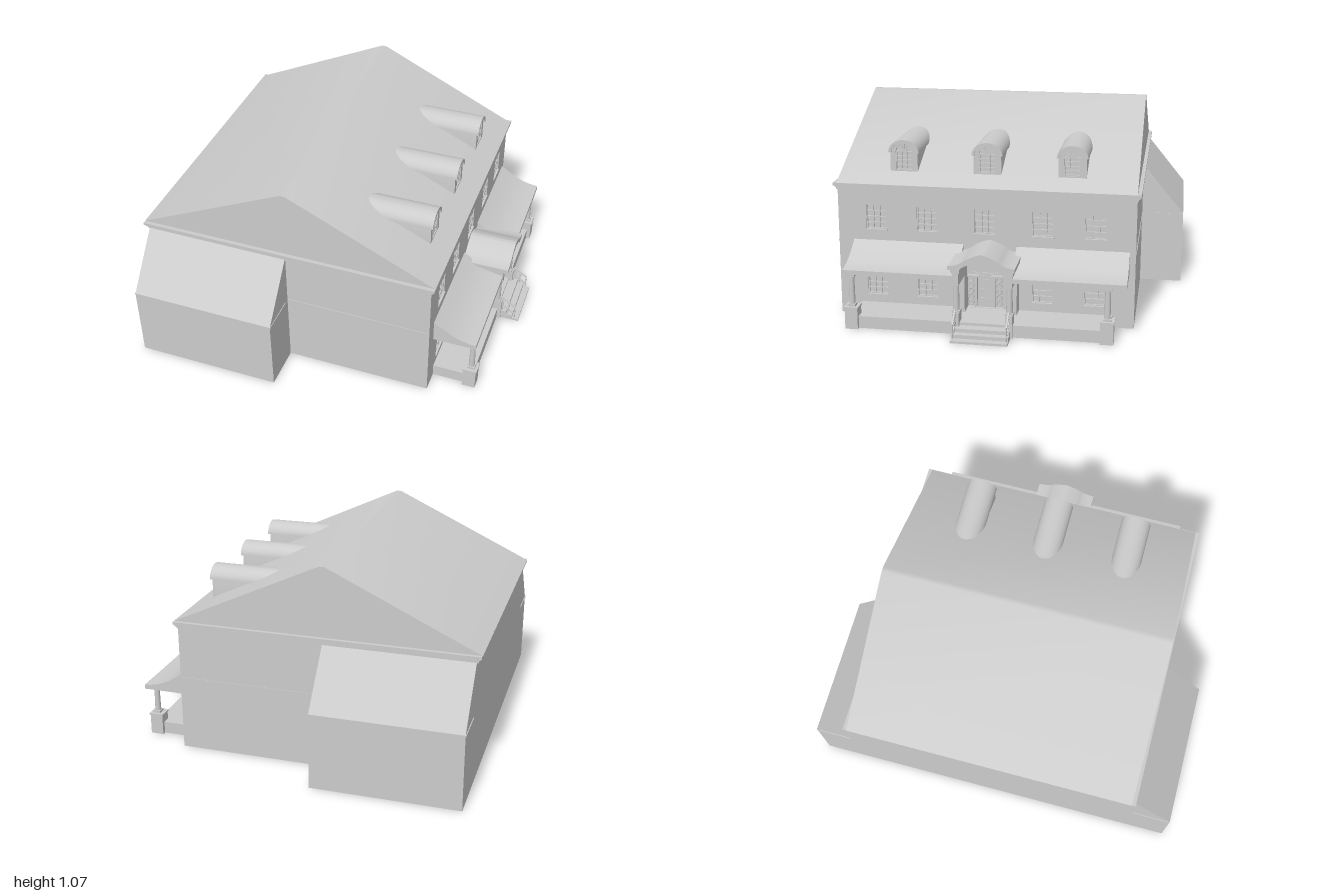
import * as THREE from 'three';
import { toCreasedNormals } from 'three/addons/utils/BufferGeometryUtils.js';

const material = new THREE.MeshStandardMaterial({ color: 0xcccccc });

function add(parent, name, geometry) {
  const mesh = new THREE.Mesh(geometry, material);
  mesh.name = name;
  parent.add(mesh);
  return mesh;
}

// Box given by its min and max along each axis
function box(parent, name, x0, x1, y0, y1, z0, z1) {
  const mesh = add(parent, name, new THREE.BoxGeometry(x1 - x0, y1 - y0, z1 - z0));
  mesh.position.set((x0 + x1) / 2, (y0 + y1) / 2, (z0 + z1) / 2);
  return mesh;
}

const polygon = pts => new THREE.Shape(pts.map(p => new THREE.Vector2(...p)));
const rect = (u0, u1, y0, y1) => polygon([[u0, y0], [u1, y0], [u1, y1], [u0, y1]]);

function extrude(shape, depth) {
  return toCreasedNormals(
    new THREE.ExtrudeGeometry(shape, { depth, bevelEnabled: false, curveSegments: 20 }), 0.6);
}

// Extrude a (-z, y) outline from x0 to x1
function alongX(parent, name, shape, x0, x1, z = 0) {
  const mesh = add(parent, name, extrude(shape, x1 - x0).rotateY(Math.PI / 2));
  mesh.position.set(x0, 0, z);
  return mesh;
}

// Extrude an (x, y) outline from z0 to z1
function alongZ(parent, name, pts, z0, z1) {
  const mesh = add(parent, name, extrude(polygon(pts), z1 - z0));
  mesh.position.z = z0;
  return mesh;
}

function column(parent, name, x, y0, y1, z, r) {
  const shaft = add(parent, name, new THREE.CylinderGeometry(r * 0.85, r, y1 - y0, 16));
  shaft.position.set(x, (y0 + y1) / 2, z);
  const w = r * 1.25;
  box(parent, name + 'Base', x - w, x + w, y0, y0 + 0.012, z - w, z + w);
  box(parent, name + 'Capital', x - w, x + w, y1 - 0.014, y1, z - w, z + w);
}

// Round-headed outline: straight sides with an elliptical top
function archOutline(half, y0, spring, rise) {
  const s = new THREE.Shape();
  s.moveTo(-half, y0);
  s.lineTo(half, y0);
  s.lineTo(half, spring);
  s.absellipse(0, spring, half, rise, 0, Math.PI, false);
  s.lineTo(-half, y0);
  return s;
}

// Sash: a panel cut by a grid of panes
function sash(parent, name, x, y0, y1, z, width, cols, rows) {
  const half = width / 2, bar = 0.005;
  const frame = rect(-half, half, y0, y1);
  const pw = (width - bar) / cols, ph = (y1 - y0 - bar) / rows;
  for (let c = 0; c < cols; c++)
    for (let r = 0; r < rows; r++) {
      const u = -half + bar + c * pw, v = y0 + bar + r * ph;
      frame.holes.push(rect(u, u + pw - bar, v, v + ph - bar));
    }
  alongX(parent, name, frame, x - 0.01, x, z);
}

// Radiating bars of a fanlight
function fan(parent, x, y, z, rx, ry) {
  for (let i = 1; i < 6; i++) {
    const a = (i * Math.PI) / 6, u = rx * Math.cos(a), v = ry * Math.sin(a);
    const bar = add(parent, 'fanlightBar', new THREE.BoxGeometry(0.008, Math.hypot(u, v), 0.004));
    bar.position.set(x, y + v / 2, z + u / 2);
    bar.rotation.x = Math.atan2(u, v);
  }
  const hub = archOutline(rx * 0.35, y - 0.002, y, ry * 0.35);
  alongX(parent, 'fanlightHub', hub, x - 0.005, x + 0.005, z);
}

function buildHouse(house) {
  box(house, 'mainBody', -0.926, 0.59, 0, 0.68, -0.77, 0.77);

  // Facade with window and door openings
  const facade = rect(-0.77, 0.77, 0, 0.68);
  const w = 0.107;
  for (const z of [-0.568, -0.3, 0, 0.3, 0.568]) {
    for (const [y0, y1] of [[0.466, 0.595], [0.11, 0.236]]) {
      if (z === 0 && y0 < 0.4) continue;
      facade.holes.push(rect(-z - w / 2, -z + w / 2, y0, y1));
      sash(house, 'windowSash', 0.605, y0, y1, z, w, 3, 4);
      box(house, 'windowSill', 0.605, 0.617, y0 - 0.007, y0, z - w / 2 - 0.004, z + w / 2 + 0.004);
    }
  }
  facade.holes.push(archOutline(0.092, 0.066, 0.236, 0.05));
  alongX(house, 'facade', facade, 0.59, 0.612);

  // Stepped cornice and gabled roof
  [[0.672, 0.684, 0.006], [0.684, 0.695, 0.012], [0.695, 0.709, 0.02]].forEach(([y0, y1, o]) =>
    box(house, 'cornice', -0.93 - o, 0.612 + o, y0, y1, -0.77 - o, 0.77 + o));
  alongZ(house, 'mainRoof',
    [[-0.952, 0.708], [0.632, 0.708], [-0.145, 1.073], [-0.172, 1.073]], -0.77, 0.77);

  // Lean-to wings and wall bands on both sides
  for (const s of [-1, 1]) {
    const outline = polygon([[-s * 0.76, 0], [-s, 0], [-s, 0.4], [-s * 0.77, 0.68], [-s * 0.76, 0.68]]);
    alongX(house, 'sideWing', outline, -0.926, -0.16);
    box(house, 'wingEave', -0.93, -0.157, 0.392, 0.4, s * 0.899 - 0.101, s * 0.899 + 0.101);
    box(house, 'wallBand', -0.16, 0.612, 0.394, 0.4, s * 0.77 - 0.003, s * 0.77 + 0.003);
  }
}

function buildDormer(parent, z) {
  const dormer = new THREE.Group();
  dormer.name = 'dormer';
  dormer.position.z = z;
  parent.add(dormer);
  alongX(dormer, 'dormerBody', archOutline(0.072, 0.72, 0.86, 0.056), 0.1, 0.508);
  const front = archOutline(0.072, 0.75, 0.86, 0.056);
  front.holes.push(archOutline(0.043, 0.766, 0.86, 0.043));
  alongX(dormer, 'dormerFront', front, 0.508, 0.525);
  sash(dormer, 'dormerSash', 0.52, 0.766, 0.863, 0, 0.086, 3, 4);
  fan(dormer, 0.514, 0.862, 0, 0.043, 0.042);
  const hood = new THREE.Shape();
  hood.moveTo(0.08, 0.858);
  hood.absellipse(0, 0.858, 0.08, 0.066, 0, Math.PI, false);
  hood.lineTo(-0.066, 0.858);
  hood.absellipse(0, 0.858, 0.066, 0.054, Math.PI, 0, true);
  alongX(dormer, 'dormerHood', hood, 0.1, 0.536);
}

function buildDoor(parent) {
  const door = new THREE.Group();
  door.name = 'entrance';
  parent.add(door);
  box(door, 'doorLeaf', 0.588, 0.598, 0.066, 0.23, -0.037, 0.037);
  for (const s of [-1, 1]) {
    box(door, 'doorJamb', 0.59, 0.608, 0.066, 0.236, s * 0.048 - 0.007, s * 0.048 + 0.007);
    for (let i = 0; i < 5; i++) {
      const ring = add(door, 'sidelightRing', new THREE.TorusGeometry(0.014, 0.003, 6, 16));
      ring.rotation.y = Math.PI / 2;
      ring.position.set(0.602, 0.09 + i * 0.032, s * 0.074);
    }
    for (let i = 0; i < 3; i++)
      box(door, 'doorPanel', 0.596, 0.602, 0.076 + i * 0.05, 0.116 + i * 0.05, s * 0.017 - 0.013, s * 0.017 + 0.013);
  }
  box(door, 'doorTransom', 0.59, 0.61, 0.23, 0.24, -0.092, 0.092);
  fan(door, 0.602, 0.24, 0, 0.09, 0.046);
}

function buildPorch(porch) {
  box(porch, 'porchFloor', 0.612, 0.825, 0, 0.064, -0.66, 0.66);
  for (const s of [-1, 1]) {
    const z = s * 0.648;
    box(porch, 'endPier', 0.777, 0.846, 0, 0.108, z - 0.033, z + 0.033);
    box(porch, 'endPierCap', 0.773, 0.85, 0.108, 0.118, z - 0.037, z + 0.037);
    column(porch, 'endColumn', 0.815, 0.118, 0.29, z, 0.016);
  }
  // Flared roof on either side of the portico
  const flare = [[0.612, 0.289], [0.838, 0.289], [0.838, 0.312], [0.8, 0.316],
    [0.755, 0.326], [0.71, 0.345], [0.66, 0.374], [0.612, 0.407]];
  alongZ(porch, 'porchRoof', flare, 0.11, 0.69);
  alongZ(porch, 'porchRoof', flare, -0.74, -0.165);
}

function buildPortico(parent) {
  const portico = new THREE.Group();
  portico.name = 'portico';
  portico.position.z = -0.027;
  parent.add(portico);

  // Curved gable roof with an arched underside
  const gable = (half, drop) => {
    const s = new THREE.Shape();
    s.moveTo(-half, 0.352);
    s.lineTo(-half, 0.372 - drop);
    s.quadraticCurveTo(-0.11, 0.378 - drop, -0.085, 0.402 - drop);
    s.quadraticCurveTo(-0.04, 0.43 - drop, 0, 0.438 - drop);
    s.quadraticCurveTo(0.04, 0.43 - drop, 0.085, 0.402 - drop);
    s.quadraticCurveTo(0.11, 0.378 - drop, half, 0.372 - drop);
    s.lineTo(half, 0.352);
    s.lineTo(0.112, 0.352);
    s.quadraticCurveTo(0.075, 0.395 - drop, 0, 0.405 - drop);
    s.quadraticCurveTo(-0.075, 0.395 - drop, -0.112, 0.352);
    return s;
  };
  alongX(portico, 'porticoRoof', gable(0.168, 0), 0.612, 0.866);
  alongX(portico, 'porticoArch', gable(0.155, 0.012), 0.612, 0.852);

  for (const s of [-1, 1]) {
    const z = s * 0.135;
    box(portico, 'porticoBeam', 0.612, 0.84, 0.262, 0.335, z - 0.016, z + 0.016);
    box(portico, 'porticoEntablature', 0.612, 0.848, 0.335, 0.355, z - 0.022, z + 0.022);
    box(portico, 'wallPilaster', 0.612, 0.685, 0.064, 0.265, z - 0.016, z + 0.016);
    box(portico, 'porticoPier', 0.777, 0.846, 0, 0.118, z - 0.017, z + 0.017);
    column(portico, 'porticoColumn', 0.818, 0.118, 0.338, z, 0.017);

    // Stair railing
    const top = [[0.85, 0.137], [0.885, 0.113], [0.922, 0.09]];
    top.forEach(([x, y]) => box(portico, 'railPost', x - 0.003, x + 0.003, 0, y, z - 0.003, z + 0.003));
    for (const drop of [0, 0.05]) {
      const rail = add(portico, 'handRail', new THREE.BoxGeometry(0.092, 0.006, 0.008));
      rail.position.set(0.886, 0.114 - drop, z);
      rail.rotation.z = Math.atan2(-0.047, 0.072);
    }
  }
  // Front steps
  [[0.876, 0.05], [0.91, 0.031], [0.946, 0.012]].forEach(([x, y]) =>
    box(portico, 'frontStep', 0.82, x, 0, y, -0.143, 0.143));
}

export function createModel() {
  const model = new THREE.Group();
  model.name = 'house';
  const porch = new THREE.Group();
  porch.name = 'porch';
  model.add(porch);
  buildHouse(model);
  [-0.436, 0, 0.436].forEach(z => buildDormer(model, z));
  buildDoor(model);
  buildPorch(porch);
  buildPortico(porch);
  return model;
}
